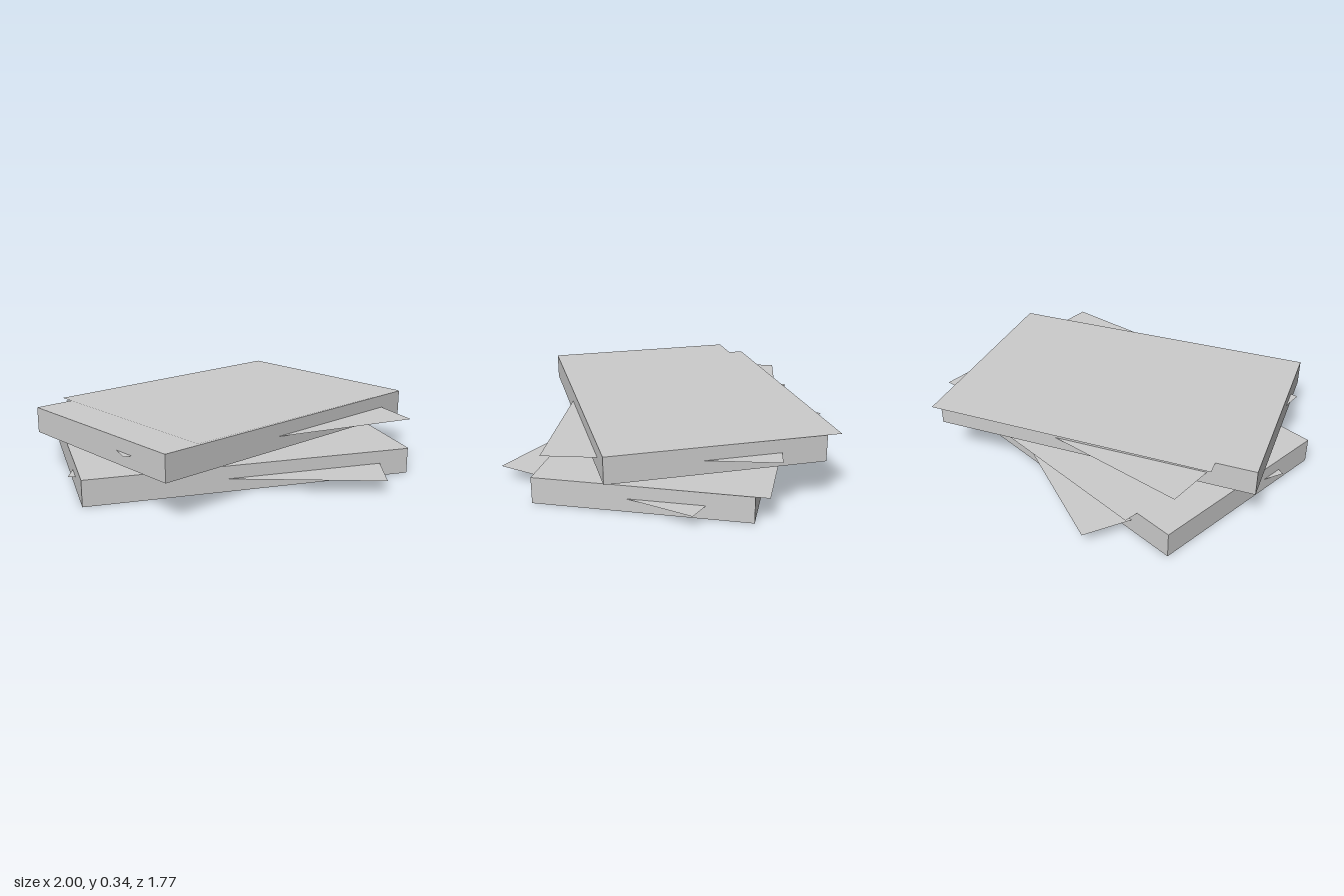
import * as THREE from 'three';

const THICK = 0.134;

// One book: a solid block, a loose top sheet and a skewed sheet through its middle
function makeBook(name, material) {
  const book = new THREE.Group();
  book.name = name;

  const block = new THREE.Mesh(new THREE.BoxGeometry(1.7, THICK, 1.07), material);
  block.name = 'block';
  block.position.y = THICK / 2;
  book.add(block);

  const addSheet = (label, width, depth, x, y, z, turn) => {
    const geometry = new THREE.PlaneGeometry(width, depth).rotateX(-Math.PI / 2);
    const sheet = new THREE.Mesh(geometry, material);
    sheet.name = label;
    sheet.position.set(x, y, z);
    sheet.rotation.y = turn;
    book.add(sheet);
  };
  addSheet('topSheet', 1.504, 1.136, 0.103, THICK + 0.002, -0.04, -0.006);
  addSheet('middleSheet', 1.576, 1.12, 0.04, THICK / 2, 0.005, -0.33);
  return book;
}

export function createModel() {
  const model = new THREE.Group();
  model.name = 'bookStack';
  const grey = new THREE.MeshStandardMaterial({ color: 0xcccccc });
  grey.name = 'light grey';
  grey.side = THREE.DoubleSide; // the sheets are open surfaces

  const lower = makeBook('lowerBook', grey);
  lower.position.set(-0.011, 0, 0.01);

  // The upper book hovers above the lower one, turned on the spot
  const upper = makeBook('upperBook', grey);
  upper.position.set(-0.003, 0.203, 0.028);
  upper.rotation.y = 0.453;

  model.add(lower, upper);
  return model;
}
